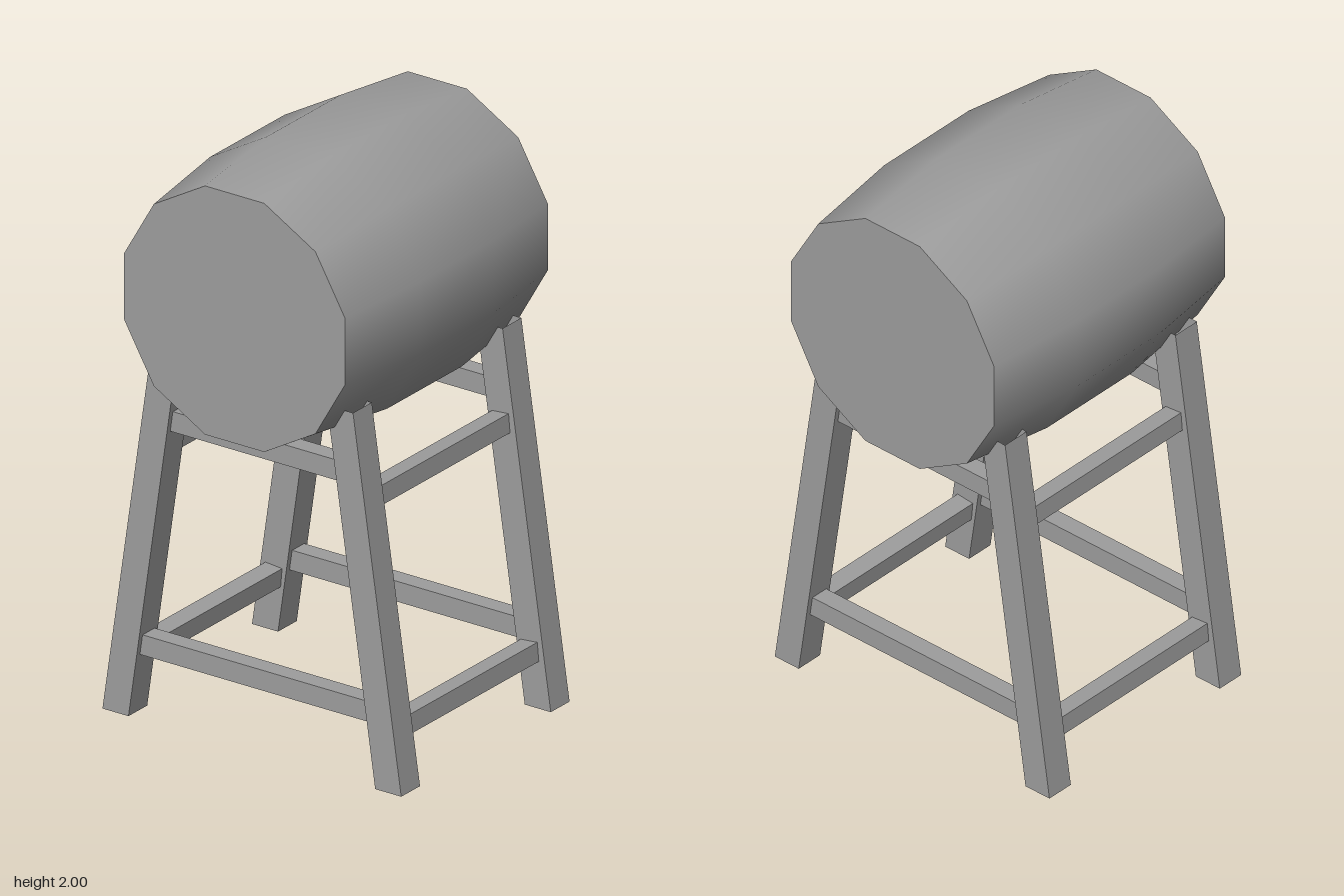
import * as THREE from 'three';

const material = new THREE.MeshStandardMaterial({ color: 0x9d9d9d });
const openMaterial = new THREE.MeshStandardMaterial({ color: 0x9d9d9d, side: THREE.DoubleSide });
const SLOPE = 0.147;      // inward lean of the legs per unit of height
const LEG_X = 0.402, FOOT_Z = 0.53, LEG_TOP = 1.275, RAIL = 0.065;
const legZ = (y) => FOOT_Z - SLOPE * y;

function add(parent, name, geometry, x = 0, y = 0, z = 0, mat = material) {
  const mesh = new THREE.Mesh(geometry, mat);
  mesh.name = name;
  mesh.position.set(x, y, z);
  parent.add(mesh);
  return mesh;
}

// Twelve-sided barrel lying along x, smooth around with flat ends
function createBarrel() {
  const barrel = new THREE.Group();
  barrel.name = 'barrel';
  const sides = 12, turn = Math.PI / sides;
  const radius = (apothem) => apothem / Math.cos(turn);
  const profile = [[0.429, -0.545], [0.47, -0.2], [0.47, 0.2], [0.429, 0.545]]
    .map(([a, h]) => new THREE.Vector2(radius(a), h));
  const shell = new THREE.LatheGeometry(profile, sides, turn);
  shell.rotateZ(-Math.PI / 2);
  add(barrel, 'barrelShell', shell);
  for (const s of [-1, 1]) {
    const end = new THREE.CircleGeometry(radius(0.429), sides, turn);
    end.rotateY(s * Math.PI / 2);
    add(barrel, s > 0 ? 'leftBarrelEnd' : 'rightBarrelEnd', end, s * 0.545);
  }
  barrel.position.y = 1.53;
  return barrel;
}

// Leaning leg: a square open tube sheared in z so foot and top stay level
function legGeometry(s) {
  const r = 0.101 / Math.SQRT2;
  const g = new THREE.CylinderGeometry(r, r, LEG_TOP, 4, 1, true, Math.PI / 4)
    .toNonIndexed().translate(0, LEG_TOP / 2, 0);
  const p = g.attributes.position;
  for (let i = 0; i < p.count; i++) p.setZ(i, p.getZ(i) + s * legZ(p.getY(i)));
  g.computeVertexNormals();
  return g;
}

export function createModel() {
  const model = new THREE.Group();
  model.name = 'barrelOnStand';
  model.add(createBarrel());

  const stand = new THREE.Group();
  stand.name = 'stand';
  model.add(stand);

  for (const s of [1, -1]) {
    const face = s > 0 ? 'front' : 'back';
    const flank = s > 0 ? 'left' : 'right';

    // Legs
    for (const x of [LEG_X, -LEG_X]) {
      add(stand, face + (x > 0 ? 'Left' : 'Right') + 'Leg', legGeometry(s), x, 0, 0, openMaterial);
    }

    // Front and back rails, tilted slightly inward
    for (const [level, y] of [['Lower', 0.192], ['Upper', 0.952]]) {
      const rail = add(stand, face + level + 'Rail',
        new THREE.BoxGeometry(0.72, RAIL, RAIL), 0, y, s * (legZ(y) - 0.003));
      rail.rotation.x = -s * 0.09;
    }

    // Side rails, level between front and back legs
    for (const [level, y] of [['Lower', 0.25], ['Upper', 1.051]]) {
      add(stand, flank + level + 'Rail',
        new THREE.BoxGeometry(RAIL, 0.07, 2 * (legZ(y) - 0.02)), s * LEG_X, y, 0);
    }
  }
  return model;
}
